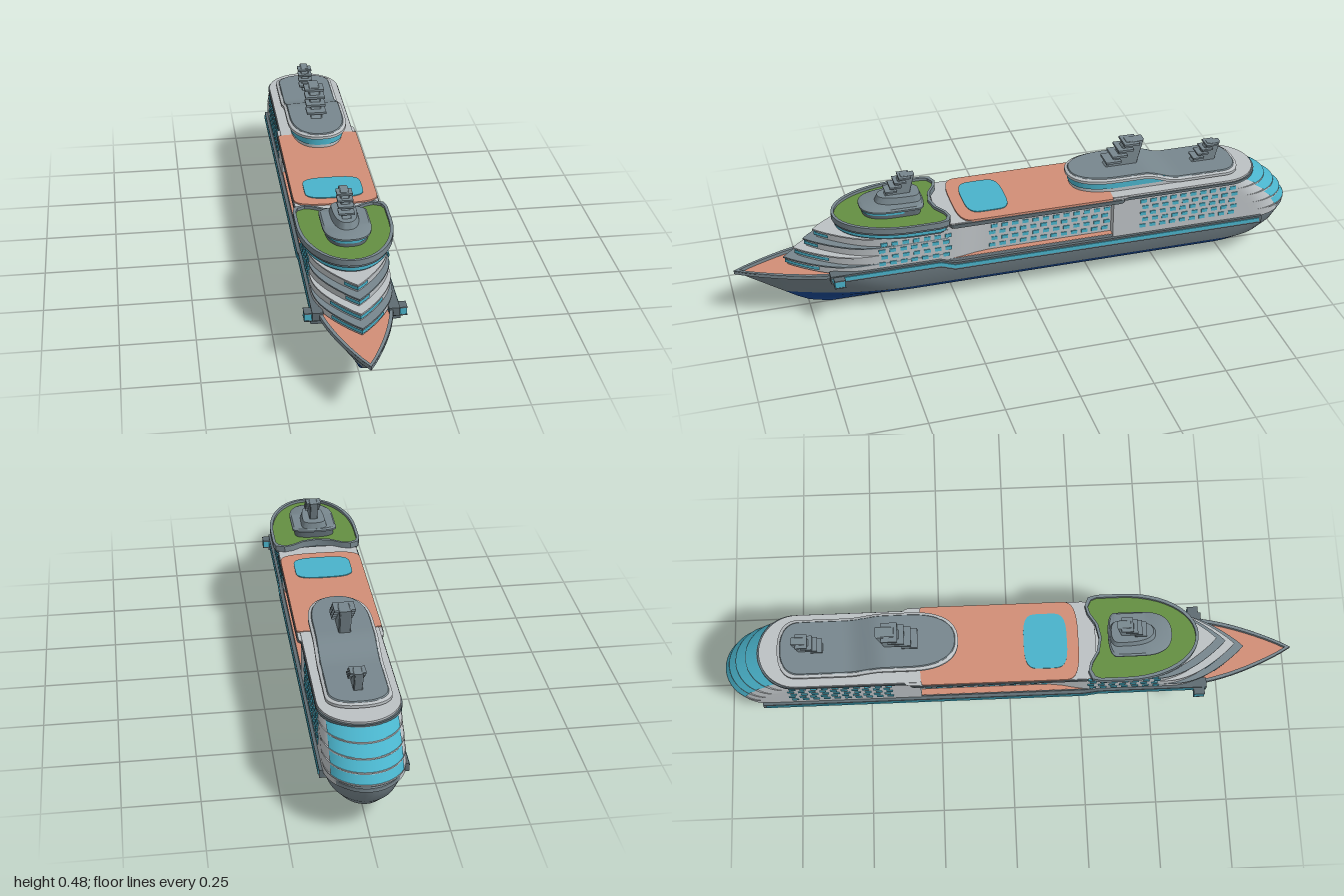
import * as THREE from 'three';
import { toCreasedNormals, mergeGeometries } from 'three/addons/utils/BufferGeometryUtils.js';

const mat = (name, color, side = THREE.FrontSide) => {
  const m = new THREE.MeshStandardMaterial({ color, side });
  m.name = name;
  return m;
};

export function createModel() {
  const ship = new THREE.Group();
  ship.name = 'cruiseShip';
  const grey = mat('hullGrey', 0x78878e, THREE.DoubleSide);
  const blue = mat('keelBlue', 0x1b4a94);
  const white = mat('wallLightGrey', 0xbcc1c4);
  const cyan = mat('glassCyan', 0x4ab3cb, THREE.DoubleSide);
  const orange = mat('deckOrange', 0xd28e77);
  const green = mat('lawnGreen', 0x648f42);
  const dark = mat('trimDarkGrey', 0x5f6c72);

  const add = (name, geo, material, parent = ship) => {
    const mesh = new THREE.Mesh(geo, material);
    mesh.name = name;
    parent.add(mesh);
    return mesh;
  };

  // Half outline seen from above: bow, +x side, stern. e < 1 squares the corners.
  const plan = (w, zf, zb, lf, lb, { point = false, e = 1 } = {}) => {
    const half = [], n = 12;
    for (let i = 0; i <= n; i++) {
      const a = i / n * Math.PI / 2, c = Math.max(0, Math.cos(a));
      half.push([w * Math.sin(a) ** (point ? 0.9 : e), zf - lf * (point ? i / n : 1 - c ** e)]);
    }
    const z0 = zf - lf, z1 = zb + lb;
    for (let i = 1; i < 16; i++) half.push([w, z0 + (z1 - z0) * i / 16]);
    for (let i = 0; i <= n; i++) {
      const a = i / n * Math.PI / 2, c = Math.max(0, Math.cos(a));
      half.push([w * c ** e, z1 - lb * Math.sin(a) ** e]);
    }
    return half;
  };
  const mirrored = half => half.map(([x, z]) => [-x, z]).reverse();

  // Skin between rows of [x, z] points at given heights (number or rule of z)
  const skin = (rows, ys, closed, cap) => {
    const pos = [], idx = [], n = rows[0].length;
    rows.forEach((row, j) => row.forEach(([x, z]) =>
      pos.push(x, typeof ys[j] === 'number' ? ys[j] : ys[j](z), z)));
    for (let j = 0; j < rows.length - 1; j++)
      for (let i = 0; i < (closed ? n : n - 1); i++) {
        const a = j * n + i, b = j * n + (i + 1) % n;
        idx.push(a, b, b + n, a, b + n, a + n);
      }
    if (cap) {
      const top = (rows.length - 1) * n;
      for (const [o, flip] of [[top, false], [0, true]])
        for (let k = 0; k < n / 2 - 1; k++) {
          const r = o + k, s = r + 1, l = o + n - 1 - k, m = l - 1;
          if (flip) idx.push(l, s, r, l, m, s);
          else idx.push(l, r, s, l, s, m);
        }
    }
    const g = new THREE.BufferGeometry();
    g.setAttribute('position', new THREE.Float32BufferAttribute(pos, 3));
    g.setIndex(idx);
    return toCreasedNormals(g, 0.6);
  };
  const loft = (halves, ys, cap = true) => skin(halves.map(h => [...h, ...mirrored(h)]), ys, true, cap);
  const slab = (half, y0, y1) => loft([half, half], [y0, y1]);
  // Thin window strip wrapped round the bow or the stern, out to |x| = limit
  const strip = (h0, h1, y0, y1, limit, stern) => {
    const m = h0.length >> 1;
    const cut = h => stern ? [...h.slice(m), ...mirrored(h.slice(m))] : [...mirrored(h.slice(0, m)), ...h.slice(0, m)];
    const a = cut(h0), b = cut(h1), keep = a.map(p => Math.abs(p[0]) <= limit);
    return skin([a, b].map(r => r.filter((_, i) => keep[i])), [y0, y1], false, false);
  };
  // Plate with an optional hole, from [x, z] outlines
  const plate = (outline, y0, y1, hole) => {
    const v = pts => pts.map(([x, z]) => new THREE.Vector2(x, -z));
    const s = new THREE.Shape(v(outline));
    if (hole) s.holes.push(new THREE.Path(v(hole)));
    const g = new THREE.ExtrudeGeometry(s, { depth: y1 - y0, bevelEnabled: false });
    return toCreasedNormals(g.rotateX(-Math.PI / 2).translate(0, y0, 0), 0.6);
  };
  const ring = half => [...half, ...mirrored(half).slice(1, -1)];

  // Hull: V-shaped levels of [y, half width, bow z, stern z]
  const levels = [[0, 0.001, 0.68, -0.72], [0.018, 0.03, 0.75, -0.81], [0.04, 0.065, 0.79, -0.87], [0.068, 0.093, 0.832, -0.92],
    [0.11, 0.112, 0.895, -0.966], [0.15, 0.122, 0.955, -0.99], [0.18, 0.129, 1, -1]];
  const hullPlan = ([, w, f, b], d = 0) => plan(w - d, f - d * 2, b + d, 0.42, 0.16, { point: true });
  const hull = (a, b) => loft(levels.slice(a, b).map(l => hullPlan(l)), levels.slice(a, b).map(l => l[0]), false);
  add('lowerHull', hull(0, 4), blue);
  add('upperHull', hull(3, 7), grey);
  const last = levels[6];
  add('mainDeck', slab(hullPlan(last, 0.006), 0.166, 0.17), orange);
  add('bulwark', plate(ring(hullPlan(last, 0.001)), 0.168, 0.182, ring(hullPlan(last, 0.01))), grey);

  // Side promenade band with glass stripe, stepping down behind the front block
  const bandShape = (h, z0, z1) => {
    const path = [[z0, 0.175], [0.31, 0.175], [0.26, 0.157], [z1, 0.157]];
    return new THREE.Shape([...path.map(([z, y]) => new THREE.Vector2(z, y + h)),
      ...path.reverse().map(([z, y]) => new THREE.Vector2(z, y - h))]);
  };
  for (const s of [-1, 1]) {
    const side = new THREE.Group();
    side.name = s > 0 ? 'leftPromenade' : 'rightPromenade';
    ship.add(side);
    for (const [name, h, x, m, z0, z1] of [['band', 0.014, 0.14, dark, 0.69, -0.87], ['bandGlass', 0.007, 0.143, cyan, 0.685, -0.86]]) {
      const g = new THREE.ExtrudeGeometry(bandShape(h, z0, z1), { depth: 0.035, bevelEnabled: false });
      g.rotateY(-Math.PI / 2).translate(s > 0 ? x : -x + 0.035, 0, 0);
      add(name, g, m, side);
    }
    add('bridgeWing', new THREE.BoxGeometry(0.06, 0.022, 0.035).translate(s * 0.134, 0.17, 0.663), cyan, side);
    for (const y of [0.157, 0.183])
      add('bridgeWingTrim', new THREE.BoxGeometry(0.062, 0.004, 0.038).translate(s * 0.134, y, 0.663), dark, side);
    add('bridgeWingBracket', new THREE.BoxGeometry(0.04, 0.012, 0.03).translate(s * 0.124, 0.149, 0.663), dark, side);
  }

  // Front block: pointed tiers stepping back, each with a window strip
  const frontPlan = (z, d = 0) => plan(0.13, z + d, 0.28, 0.25, 0.001, { point: true });
  [0.83, 0.795, 0.76, 0.725].forEach((z, i) => {
    const y = 0.178 + i * 0.031;
    add('frontTier', slab(frontPlan(z - 0.015), y, y + 0.026), white);
    add('frontLedge', slab(frontPlan(z - 0.002), y + 0.026, y + 0.031), i % 2 ? white : grey);
    const h = frontPlan(z - 0.015, 0.008);
    add('frontWindows', strip(h, h, y + 0.009, y + 0.021, i < 2 ? 0.085 : 0.05, false), cyan);
  });

  // Middle block, set in from the sides, curving out to meet the front block
  const midHalf = [[0, 0.3], [0.129, 0.3], [0.127, 0.26], [0.12, 0.22], [0.111, 0.18], [0.106, 0.14], [0.105, 0.08], [0.105, -0.32], [0, -0.32]];
  add('middleBlock', slab(midHalf, 0.17, 0.318), white);
  add('promenadeDeck', slab([[0, 0.28], [0.127, 0.28], [0.127, -0.32], [0, -0.32]], 0.17, 0.183), orange);

  // Aft block: sloping round stern with glass bands
  const aftPlan = (z, d = 0) => plan(0.13, -0.31, z - d, 0.001, 0.14);
  const sternZ = [-0.995, -0.978, -0.95, -0.912, -0.87];
  add('aftBase', slab(aftPlan(-0.99), 0.165, 0.19), white);
  for (let i = 0; i < 4; i++) {
    const y = 0.19 + i * 0.033, a = sternZ[i], b = sternZ[i + 1];
    add('aftTier', loft([aftPlan(a), aftPlan(b)], [y, y + 0.033]), white);
    add('sternGlass', strip(aftPlan(a, 0.004), aftPlan(b, 0.004), y + 0.006, y + 0.031, 0.118, true), cyan);
    add('sternLedge', slab(aftPlan(a, 0.005), y, y + 0.005), white);
  }

  // Rows of small side windows
  const panes = [];
  const windows = (x, z0, z1, rows, y0) => {
    const n = Math.round((z0 - z1) / 0.037);
    for (let r = 0; r < rows; r++)
      for (let i = 0; i <= n; i++)
        for (const s of [-1, 1])
          panes.push(new THREE.BoxGeometry(0.004, 0.013, 0.022)
            .translate(s * x, y0 + r * 0.025, z0 - i * 0.037 - (r % 2) * 0.008));
  };
  windows(0.1305, 0.51, 0.3, 4, 0.205);
  windows(0.1055, 0.12, -0.29, 5, 0.2);
  windows(0.1305, -0.42, -0.77, 5, 0.2);
  add('sideWindows', mergeGeometries(panes), cyan);

  // Upper deck over the middle and aft blocks, with pool
  add('upperDeckEdge', slab(plan(0.145, 0.29, -0.38, 0.03, 0.05), 0.312, 0.326), dark);
  add('upperDeckFloor', slab(plan(0.142, 0.3, -0.39, 0.03, 0.04), 0.326, 0.33), white);
  add('sunDeck', slab(plan(0.143, 0.24, -0.31, 0.06, 0.01, { e: 0.6 }), 0.328, 0.335), orange);
  add('pool', slab(plan(0.1, 0.2, 0.05, 0.055, 0.055, { e: 0.6 }), 0.333, 0.338), cyan);
  add('aftDeckEdge', slab(plan(0.135, -0.32, -0.872, 0.01, 0.13), 0.316, 0.326), dark);
  add('aftDeck', slab(plan(0.132, -0.3, -0.865, 0.01, 0.13), 0.322, 0.333), white);

  // Forward lawn deck with raised rim, notched at its aft edge
  const lawn = (d) => {
    const front = plan(0.158 - d, 0.655 - d, 0.29, 0.25, 0.001).slice(0, 26);
    const half = [...front, [0.15 - d, 0.28 + d], [0.12 - d / 2, 0.268 + d], [0.09, 0.275 + d], [0.05, 0.3 + d], [0, 0.31 + d]];
    return ring(half);
  };
  add('lawnSupport', plate(lawn(0.016), 0.3, 0.308), dark);
  add('lawnGlass', plate(lawn(0.01), 0.308, 0.323), cyan);
  add('lawnSoffit', plate(lawn(0.004), 0.323, 0.331), dark);
  add('lawnRim', plate(lawn(0), 0.331, 0.352, lawn(0.01)), grey);
  add('lawn', plate(lawn(0.009), 0.331, 0.342), green);

  // Forward deckhouse
  const house = (w, zf, zb) => plan(w, zf, zb, 0.11, 0.03, { e: 0.8 });
  add('forwardHouseWall', slab(house(0.07, 0.55, 0.35), 0.34, 0.372), dark);
  add('forwardHouseGlass', strip(house(0.072, 0.553, 0.35), house(0.072, 0.553, 0.35), 0.355, 0.366, 0.08, false), cyan);
  add('forwardHouseRoof', loft([house(0.08, 0.56, 0.34), house(0.08, 0.56, 0.34), house(0.074, 0.55, 0.345)], [0.367, 0.373, 0.378]), grey);
  add('mastBase', loft([house(0.046, 0.505, 0.345), house(0.04, 0.495, 0.35)], [0.376, 0.4]), grey);

  // Aft deckhouse: high at the front, sloping down towards the stern
  const roofY = z => 0.355 + 0.033 * THREE.MathUtils.smoothstep(z, -0.56, -0.43);
  const aftHouse = d => plan(0.106 - d, -0.175 - d, -0.8 + d, 0.16, 0.07, { e: 0.85 });
  const low = z => roofY(z) - 0.014;
  add('aftHouseWall', loft([aftHouse(0.014), aftHouse(0.014)], [0.33, low]), white);
  add('aftHouseGlass', strip(aftHouse(0.01), aftHouse(0.01), 0.348, 0.372, 0.11, false), cyan);
  add('aftHouseRoofEdge', loft([aftHouse(0), aftHouse(0), aftHouse(0.006)], [low, z => roofY(z) - 0.004, roofY]), white);
  add('aftHouseRoof', loft([aftHouse(0.008), aftHouse(0.012)], [z => roofY(z) - 0.002, z => roofY(z) + 0.004]), grey);

  // Raked funnels with stacked fins on the leading side
  const funnel = (name, y, z, s) => {
    const g = new THREE.Group();
    g.name = name;
    const profile = new THREE.Shape([[0.075, -0.005], [0.03, 0.03], [-0.012, 0.088], [-0.07, 0.092], [-0.045, -0.005]]
      .map(p => new THREE.Vector2(...p)));
    const core = new THREE.ExtrudeGeometry(profile, { depth: 0.032, bevelEnabled: true, bevelSize: 0.003, bevelThickness: 0.004, bevelSegments: 1 });
    add('funnelBody', core.rotateY(-Math.PI / 2).translate(0.016, 0, 0), grey, g);
    for (let i = 0; i < 4; i++)
      add('funnelFin', new THREE.BoxGeometry(0.07, 0.008, 0.055).translate(0, 0.024 + i * 0.0205, 0.04 - i * 0.022), grey, g);
    g.position.set(0, y, z);
    g.scale.setScalar(s);
    ship.add(g);
  };
  funnel('mainFunnel', 0.388, -0.38, 1);
  funnel('aftFunnel', 0.358, -0.69, 0.73);
  funnel('forwardMast', 0.398, 0.42, 0.74);

  return ship;
}
